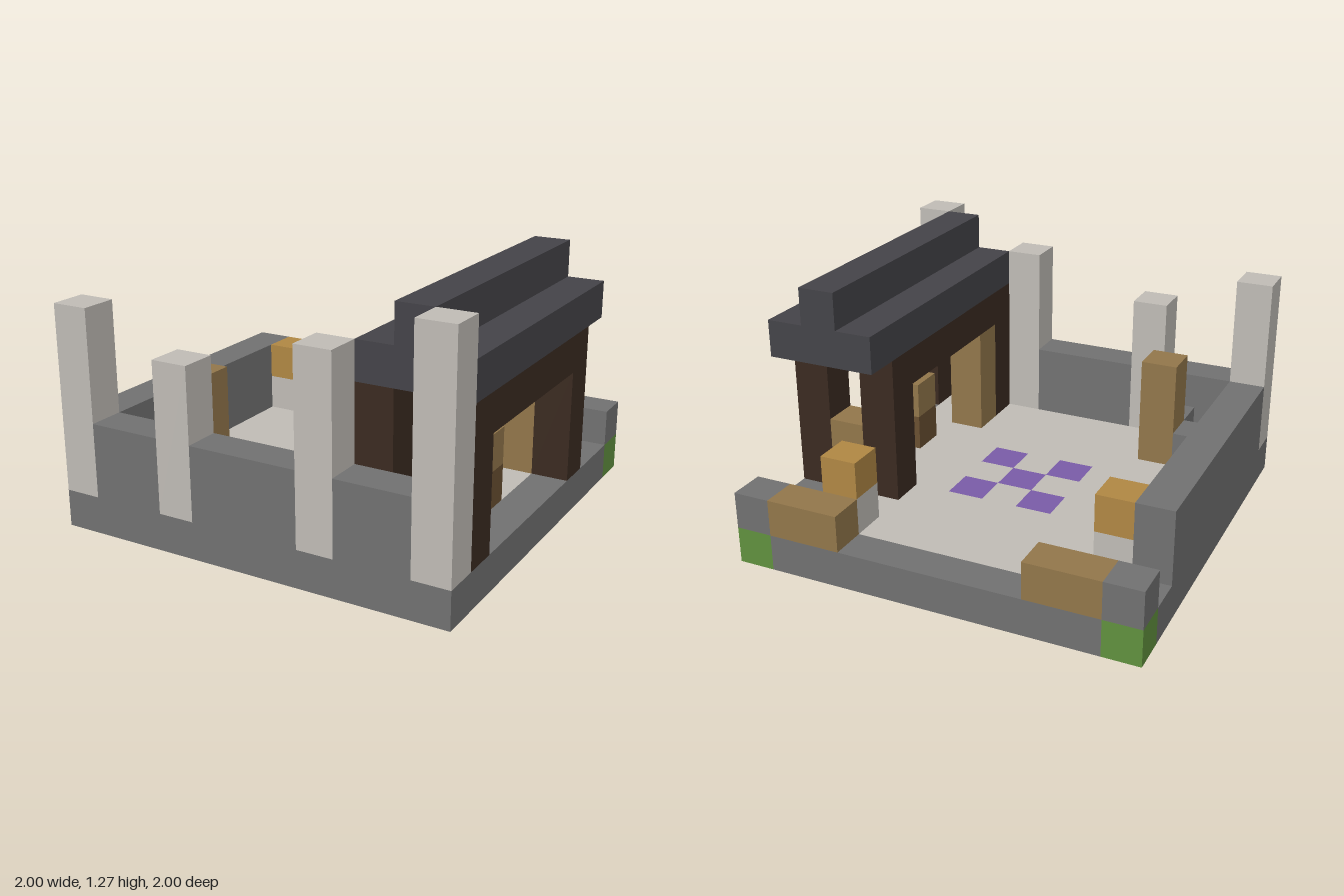
import * as THREE from 'three';
import { mergeGeometries } from 'three/addons/utils/BufferGeometryUtils.js';

const N = 11;          // blocks along each side
const U = 2 / N;       // size of one block

const mat = (name, color) => {
  const m = new THREE.MeshStandardMaterial({ color });
  m.name = name;
  return m;
};

// Box from block coordinates: column x (from -x), layer y, row z (from the back), then counts
function blocks(x, y, z, w, h, d) {
  const g = new THREE.BoxGeometry(w * U, h * U, d * U);
  g.translate(-1 + (x + w / 2) * U, (y + h / 2) * U, -1 + (z + d / 2) * U);
  return g;
}

// Ground layer, back row first: s stone rim, f floor, p purple tile, g grass
const GROUND = [
  'gsssssssssg',
  'sfffffffffs',
  'sfffffffffs',
  'sfffffffffs',
  'sfffpfpffFs'.toLowerCase(),
  'sffffpffffs',
  'sfffpfpfffs',
  'sfffffffffs',
  'sgffffffffs',
  'sfgfffffffs',
  'sssssssssss',
];

export function createModel() {
  const group = new THREE.Group();
  const stone = mat('stone grey', 0x727272);
  const pale = mat('pale stone', 0xc1bdb7);
  const slate = mat('dark slate', 0x454449);
  const timber = mat('dark timber', 0x3b2b21);
  const wood = mat('tan wood', 0x93774b);
  const brown = mat('brown wood', 0x6a5032);
  const gold = mat('golden wood', 0xb18844);
  const purple = mat('purple tile', 0x7a5ca8);
  const grass = mat('grass green', 0x61913f);

  const add = (name, material, ...boxes) => {
    const mesh = new THREE.Mesh(mergeGeometries(boxes.map(b => blocks(...b))), material);
    mesh.name = name;
    group.add(mesh);
  };

  // Ground layer: neighbouring equal blocks in a row become one box
  const runs = { s: [], f: [], p: [], g: [] };
  GROUND.forEach((row, z) => {
    for (let x = 0; x < N;) {
      let end = x + 1;
      while (end < N && row[end] === row[x]) end++;
      runs[row[x]].push([x, 0, z, end - x, 1, 1]);
      x = end;
    }
  });
  add('baseRim', stone, ...runs.s);
  add('floor', pale, ...runs.f);
  add('floorTiles', purple, ...runs.p);
  add('grassBlocks', grass, ...runs.g);

  // Walls on the front and the -x side, with low blocks in the corners
  add('sideWall', stone, [0, 1, 2, 1, 2, 8]);
  add('frontWall', stone, [1, 1, 10, 2, 2, 1], [4, 1, 10, 3, 2, 1], [8, 1, 10, 2, 2, 1]);
  add('backCornerBlocks', stone, [0, 1, 0, 1, 1, 1], [10, 1, 0, 1, 1, 1]);
  add('innerCornerBlocks', stone, [1, 1, 8, 1, 1, 1], [2, 1, 9, 1, 1, 1]);

  // Front pillars: column and height
  for (const [x, h] of [[0, 5], [3, 4], [7, 5], [10, 6]]) {
    add('frontPillar', pale, [x, 1, 10, 1, h, 1]);
  }

  // Shelter: two timber frames under a stepped roof
  for (const x of [8, 10]) {
    for (const z of [3, 9]) add('shelterPost', timber, [x, 1, z, 1, 3, 1]);
    add('shelterBeam', timber, [x, 4, 3, 1, 1, 7]);
  }
  add('roof', slate, [8, 5, 2, 3, 1, 8]);
  add('roofRidge', slate, [9, 6, 2, 1, 1, 8]);

  // Low benches along the back edge
  for (const x of [1, 8]) add('backBench', wood, [x, 1, 0, 2, 1, 1]);

  // Lamps: golden block on a pale foot
  for (const [x, z] of [[8, 1], [1, 2]]) {
    add('lampFoot', pale, [x, 1, z, 1, 1, 1]);
    add('lampTop', gold, [x, 2, z, 1, 1, 1]);
  }

  // Wooden posts and crates
  add('cornerPost', wood, [2, 1, 8, 1, 3, 1]);
  add('shelterCupboard', wood, [8, 1, 8, 1, 3, 1]);
  add('shelterCrate', wood, [9, 1, 3, 1, 2, 1]);
  add('stoolBase', brown, [9, 1, 6, 1, 1, 1]);
  add('stoolTop', wood, [9, 2, 6, 1, 1, 1]);

  return group;
}
